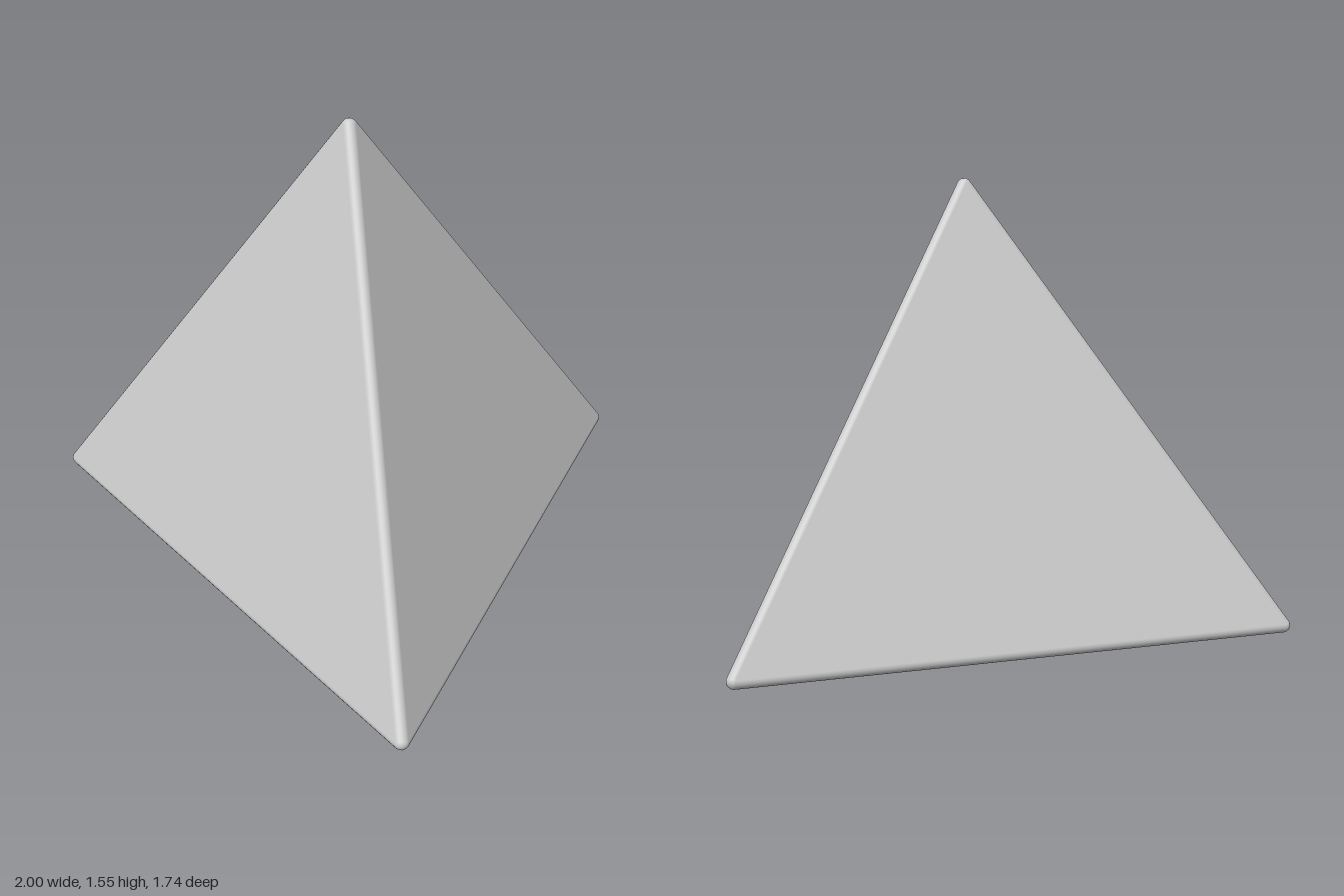
import * as THREE from 'three';

const RADIUS = 0.025; // rounding of edges and corners
const STEPS = 8;

// Centres of the four rounded corners: apex, front left, front right, back
const corners = [
  new THREE.Vector3(0, 1.53, 0.283),
  new THREE.Vector3(0.975, RADIUS, 0.843),
  new THREE.Vector3(-0.975, RADIUS, 0.843),
  new THREE.Vector3(0, RADIUS, -0.843),
];
const others = (...skip) => [0, 1, 2, 3].filter((i) => !skip.includes(i));

// Outward normal of the face opposite each corner
const faceNormals = corners.map((corner, i) => {
  const [a, b, c] = others(i).map((j) => corners[j]);
  const n = b.clone().sub(a).cross(c.clone().sub(a)).normalize();
  return n.dot(corner.clone().sub(a)) > 0 ? n.negate() : n;
});

// Collects triangles whose vertices are { centre, normal } pairs
function surface() {
  const positions = [], normals = [];
  const place = (v) => v.centre.clone().addScaledVector(v.normal, RADIUS);
  return {
    tri(a, b, c) {
      const [pa, pb, pc] = [a, b, c].map(place);
      const facing = pb.sub(pa).cross(pc.sub(pa));
      const outward = a.normal.clone().add(b.normal).add(c.normal);
      for (const v of facing.dot(outward) < 0 ? [a, c, b] : [a, b, c]) {
        positions.push(...place(v).toArray());
        normals.push(...v.normal.toArray());
      }
    },
    mesh(name, material) {
      const g = new THREE.BufferGeometry();
      g.setAttribute('position', new THREE.Float32BufferAttribute(positions, 3));
      g.setAttribute('normal', new THREE.Float32BufferAttribute(normals, 3));
      const mesh = new THREE.Mesh(g, material);
      mesh.name = name;
      return mesh;
    },
  };
}

export function createModel() {
  const group = new THREE.Group();
  group.name = 'roundedTetrahedron';
  const material = new THREE.MeshStandardMaterial({ color: 0xcccccc });

  // Four flat faces
  const faces = surface();
  faceNormals.forEach((normal, i) => {
    faces.tri(...others(i).map((j) => ({ centre: corners[j], normal })));
  });
  group.add(faces.mesh('flatFaces', material));

  // Six rounded edges, each an arc between its two face normals
  const edges = surface();
  for (let i = 0; i < 4; i++) {
    for (let j = i + 1; j < 4; j++) {
      const [n0, n1] = others(i, j).map((k) => faceNormals[k]);
      const at = (corner, s) => ({
        centre: corners[corner],
        normal: n0.clone().lerp(n1, s / STEPS).normalize(),
      });
      for (let s = 0; s < STEPS; s++) {
        edges.tri(at(i, s), at(j, s), at(j, s + 1));
        edges.tri(at(i, s), at(j, s + 1), at(i, s + 1));
      }
    }
  }
  group.add(edges.mesh('roundedEdges', material));

  // Four rounded corners, each a spherical triangle between three face normals
  const tips = surface();
  corners.forEach((centre, i) => {
    const [n0, n1, n2] = others(i).map((k) => faceNormals[k]);
    const at = (u, v) => ({
      centre,
      normal: new THREE.Vector3()
        .addScaledVector(n0, STEPS - u - v)
        .addScaledVector(n1, u)
        .addScaledVector(n2, v)
        .normalize(),
    });
    for (let u = 0; u < STEPS; u++) {
      for (let v = 0; u + v < STEPS; v++) {
        tips.tri(at(u, v), at(u + 1, v), at(u, v + 1));
        if (u + v < STEPS - 1) tips.tri(at(u + 1, v), at(u + 1, v + 1), at(u, v + 1));
      }
    }
  });
  group.add(tips.mesh('roundedCorners', material));

  return group;
}
